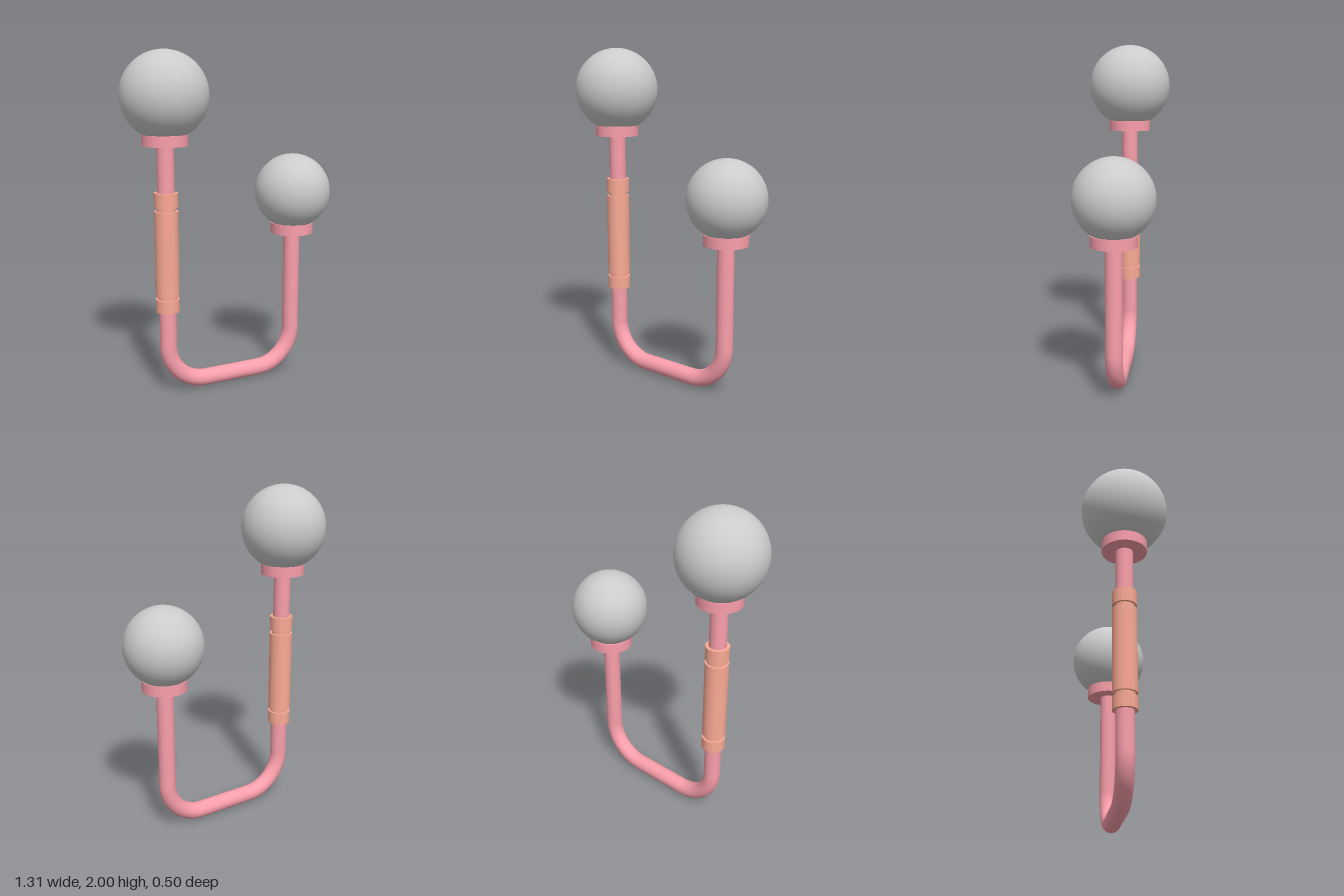
import * as THREE from 'three';

const pink = new THREE.MeshStandardMaterial({ color: 0xfa9fab });
const peach = new THREE.MeshStandardMaterial({ color: 0xfaaa94 });
const grey = new THREE.MeshStandardMaterial({ color: 0xcccccc });

const LEFT = 0.42, RIGHT = -0.408; // x of the two uprights
const TUBE = 0.05, BEND = 0.235;

function add(parent, name, geometry, material, x = 0, y = 0) {
  const mesh = new THREE.Mesh(geometry, material);
  mesh.name = name;
  mesh.position.set(x, y, 0);
  parent.add(mesh);
}

// Upright cylinder between two heights
function addCylinder(parent, name, radius, x, y0, y1, material) {
  add(parent, name, new THREE.CylinderGeometry(radius, radius, y1 - y0, 48), material, x, (y0 + y1) / 2);
}

// Quarter bend joining an upright to the bottom bar
function addBend(parent, name, x, startAngle) {
  const bend = new THREE.TorusGeometry(BEND, TUBE, 32, 32, Math.PI / 2);
  bend.rotateZ(startAngle);
  add(parent, name, bend, pink, x, TUBE + BEND + 0.003);
}

// Ball seated in a flat collar
function addBall(parent, name, x, y, radius, collarBottom) {
  const end = new THREE.Group();
  end.name = name;
  add(end, 'ball', new THREE.SphereGeometry(radius, 64, 40), grey, x, y);
  addCylinder(end, 'collar', 0.13, x, collarBottom, collarBottom + 0.063, pink);
  parent.add(end);
}

export function createModel() {
  const model = new THREE.Group();
  model.name = 'ballEndedHook';

  // Bent tube frame
  const frame = new THREE.Group();
  frame.name = 'tubeFrame';
  const bendTop = TUBE + BEND + 0.003;
  addCylinder(frame, 'rightUpright', TUBE, RIGHT, bendTop, 1.5, pink);
  addCylinder(frame, 'leftUpright', TUBE, LEFT, bendTop, 0.93, pink);
  addBend(frame, 'rightBend', RIGHT + BEND, Math.PI);
  addBend(frame, 'leftBend', LEFT - BEND, -Math.PI / 2);
  const bar = new THREE.CylinderGeometry(TUBE, TUBE, LEFT - RIGHT - 2 * BEND, 48);
  bar.rotateZ(Math.PI / 2);
  add(frame, 'bottomBar', bar, pink, (LEFT + RIGHT) / 2, TUBE + 0.003);
  model.add(frame);

  // Grip sleeve: three sections around a recessed core
  const grip = new THREE.Group();
  grip.name = 'grip';
  addCylinder(grip, 'gripCore', 0.056, RIGHT, 0.52, 1.19, peach);
  addCylinder(grip, 'gripLowerRing', 0.069, RIGHT, 0.507, 0.582, peach);
  addCylinder(grip, 'gripSleeve', 0.069, RIGHT, 0.602, 1.1, peach);
  addCylinder(grip, 'gripUpperRing', 0.069, RIGHT, 1.122, 1.207, peach);
  model.add(grip);

  // Ball ends
  addBall(model, 'rightBallEnd', RIGHT, 1.75, 0.25, 1.472);
  addBall(model, 'leftBallEnd', LEFT, 1.16, 0.23, 0.902);

  return model;
}
